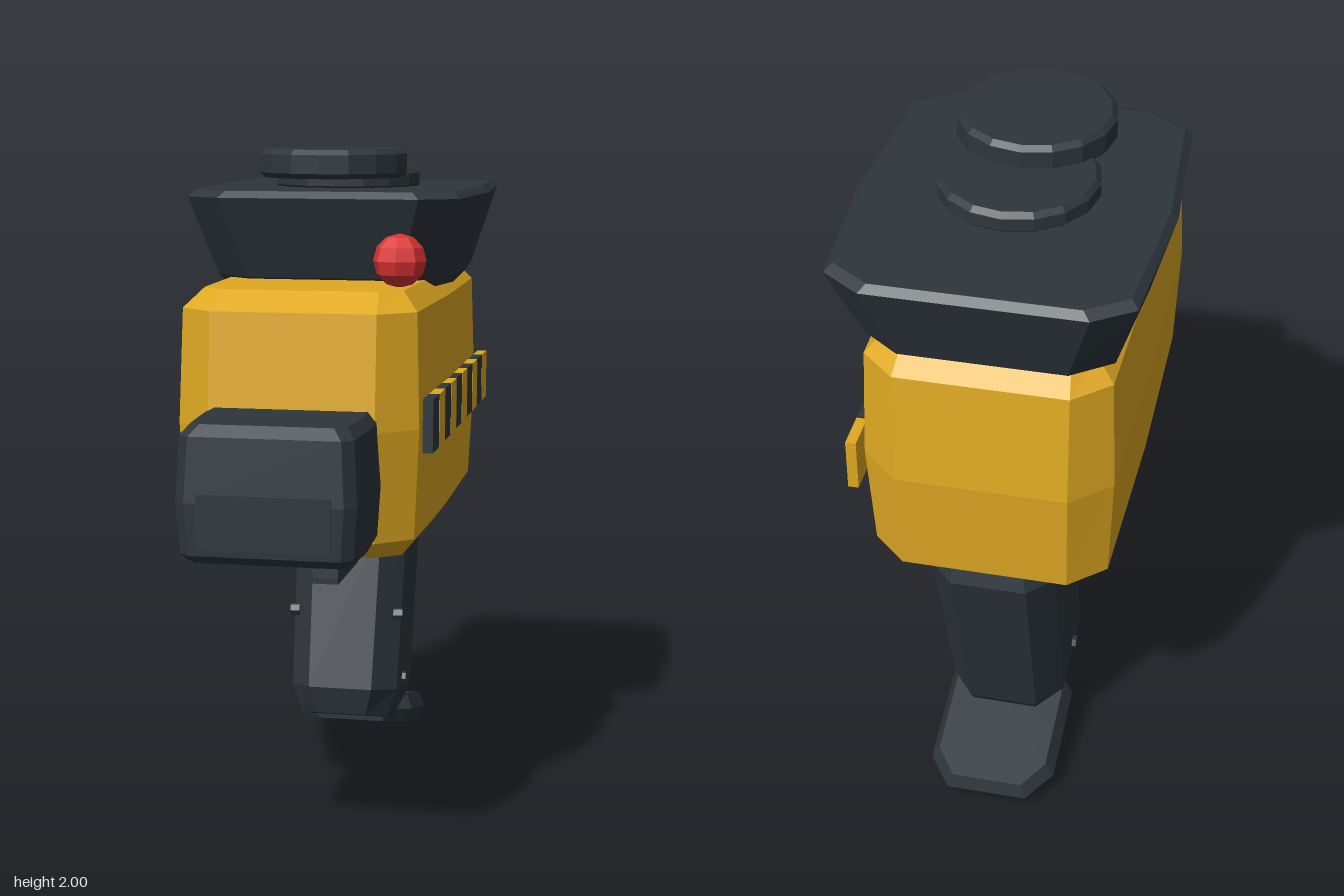
import * as THREE from 'three';

const mat = (name, color) => {
  const m = new THREE.MeshStandardMaterial({ color });
  m.name = name;
  return m;
};

// One horizontal (or tilted) cross-section: rectangle with cut corners and bulged sides.
// Layer: [yFront, yBack, zFront, zBack, halfWidth, cutX, cutZ, bulge]
function ring([yF, yB, zF, zB, hx, cx, cz, bulge = 0]) {
  const side = hx - bulge, w = side - cx, mid = (zF + zB) / 2;
  const half = [[w, zF], [side, zF - cz], [hx, mid], [side, zB + cz], [w, zB]];
  const plan = [...half, ...half.slice().reverse().map(([x, z]) => [-x, z])];
  return plan.map(([x, z]) => [x, yF + (yB - yF) * (zF - z) / (zF - zB), z]);
}

// Closed flat-shaded solid through layers listed from bottom to top
function loft(layers) {
  const rings = layers.map(ring), n = rings[0].length, pos = [];
  const tri = (a, b, c) => pos.push(...a, ...b, ...c);
  for (let k = 0; k + 1 < rings.length; k++) {
    const lo = rings[k], hi = rings[k + 1];
    for (let i = 0; i < n; i++) {
      const j = (i + 1) % n;
      tri(lo[i], lo[j], hi[j]);
      tri(lo[i], hi[j], hi[i]);
    }
  }
  const bottom = rings[0], top = rings[rings.length - 1];
  for (let i = 1; i < n - 1; i++) {
    tri(top[0], top[i], top[i + 1]);
    tri(bottom[0], bottom[i + 1], bottom[i]);
  }
  const g = new THREE.BufferGeometry();
  g.setAttribute('position', new THREE.Float32BufferAttribute(pos, 3));
  g.computeVertexNormals();
  return g;
}

// Flat-shaded copy of a built-in geometry
function faceted(geometry) {
  const g = geometry.toNonIndexed();
  g.computeVertexNormals();
  return g;
}

export function createModel() {
  const model = new THREE.Group();
  model.name = 'handheldScanner';
  const yellow = mat('yellow', 0xe0a922);
  const dark = mat('darkSlate', 0x2d363d);
  const red = mat('red', 0xdd3333);

  const add = (name, geometry, material, x = 0, y = 0, z = 0) => {
    const m = new THREE.Mesh(geometry, material);
    m.name = name;
    m.position.set(x, y, z);
    model.add(m);
    return m;
  };

  // Main housing
  add('body', loft([
    [0.85, 0.85, 0.41, -0.73, 0.30, 0.07, 0.06, 0.01],
    [0.91, 0.91, 0.50, -0.805, 0.345, 0.10, 0.09, 0.01],
    [1.23, 1.23, 0.525, -0.83, 0.36, 0.11, 0.10, 0.01],
    [1.56, 1.56, 0.50, -0.805, 0.35, 0.10, 0.09, 0.01],
    [1.615, 1.615, 0.41, -0.74, 0.30, 0.06, 0.06, 0.01],
  ]), yellow);

  // Flared top hood
  add('hood', loft([
    [1.58, 1.58, 0.01, -0.72, 0.33, 0.10, 0.07, 0.02],
    [1.62, 1.62, 0.07, -0.78, 0.37, 0.11, 0.08, 0.03],
    [1.86, 1.86, 0.165, -0.865, 0.44, 0.11, 0.075, 0.03],
    [1.88, 1.88, 0.145, -0.845, 0.42, 0.11, 0.075, 0.03],
  ]), dark);

  // Stacked round discs with bevelled rims
  const disc = (h) => faceted(new THREE.LatheGeometry(
    [[0, 0], [0.21, 0], [0.225, 0.015], [0.225, h - 0.015], [0.21, h], [0, h]]
      .map(([r, y]) => new THREE.Vector2(r, y)), 16));
  add('rearDisc', disc(0.065), dark, 0, 1.87, -0.32);
  add('frontDisc', disc(0.085), dark, 0, 1.915, -0.087);

  // Warning lamp
  add('lamp', faceted(new THREE.SphereGeometry(0.078, 8, 6)), red, 0.26, 1.69, 0.24);

  // Lens box with a shallow front panel
  add('nose', loft([
    [0.91, 0.91, 0.83, 0.40, 0.235, 0.03, 0.03, 0.01],
    [0.935, 0.935, 0.86, 0.40, 0.25, 0.03, 0.03, 0.01],
    [1.08, 1.08, 0.866, 0.40, 0.26, 0.03, 0.03, 0.01],
    [1.26, 1.26, 0.853, 0.40, 0.25, 0.03, 0.03, 0.01],
    [1.29, 1.29, 0.82, 0.40, 0.225, 0.03, 0.03, 0.01],
  ]), dark);
  add('nosePanel', new THREE.BoxGeometry(0.37, 0.15, 0.008), dark, 0, 1.03, 0.863);

  // Raked handle
  add('grip', loft([
    [0.19, 0.09, -0.21, -0.52, 0.14, 0.06, 0.06],
    [0.28, 0.20, -0.19, -0.60, 0.172, 0.07, 0.08],
    [0.80, 0.82, -0.32, -0.77, 0.18, 0.07, 0.08],
    [0.92, 0.92, -0.35, -0.74, 0.15, 0.06, 0.07],
  ]), dark);

  // Sloping foot at the base of the handle
  add('foot', loft([
    [0.12, 0.005, -0.38, -0.80, 0.165, 0.06, 0.08],
    [0.165, 0.05, -0.38, -0.845, 0.19, 0.07, 0.09],
    [0.205, 0.095, -0.43, -0.835, 0.165, 0.06, 0.08],
  ]), dark);

  // Grip screws, both sides
  for (const s of [-1, 1]) {
    for (const [y, z] of [[0.505, -0.31], [0.275, -0.38]]) {
      const screw = faceted(new THREE.CylinderGeometry(0.02, 0.02, 0.03, 6).rotateZ(Math.PI / 2));
      add('gripScrew', screw, dark, s * 0.17, y, z);
    }
  }

  // Trigger guard and trigger
  add('guardPost', new THREE.BoxGeometry(0.08, 0.19, 0.055), dark, 0, 0.79, 0.01).rotation.x = -0.06;
  add('guardBar', new THREE.BoxGeometry(0.08, 0.05, 0.36), dark, 0, 0.702, -0.14);
  add('trigger', new THREE.BoxGeometry(0.06, 0.16, 0.05), dark, 0, 0.80, -0.25).rotation.x = -0.2;
  add('triggerTip', new THREE.BoxGeometry(0.06, 0.04, 0.08), dark, 0, 0.735, -0.245).rotation.x = 0.2;

  // Alternating hazard strip on the left side
  for (let i = 0; i < 10; i++) {
    const isDark = i % 2 === 0;
    add(isDark ? 'darkStripe' : 'yellowStripe',
      new THREE.BoxGeometry(0.03, 0.155, 0.112),
      isDark ? dark : yellow, 0.367, 1.232, 0.32 - i * 0.118);
  }

  return model;
}
